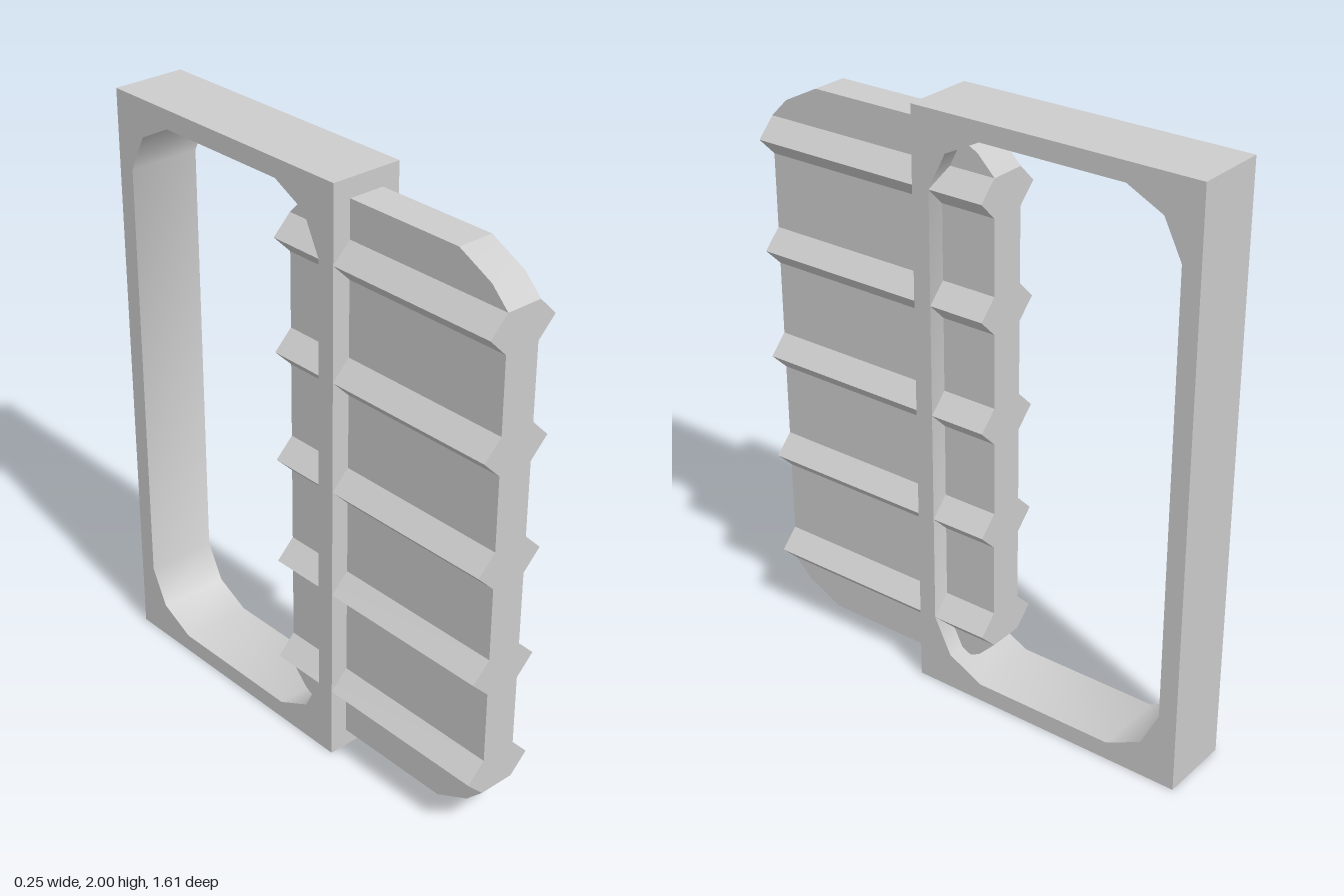
import * as THREE from 'three';
import { toCreasedNormals } from 'three/addons/utils/BufferGeometryUtils.js';

const material = new THREE.MeshStandardMaterial({ color: 0xcccccc });
const U = 1 / 16; // base module of the design

// Closed rectangle outline with each corner cut by two facets.
// offsets: [along z, along y] distances from the corner, from the horizontal edge to the vertical edge
function cutCorners(z0, z1, y0, y1, offsets) {
  const points = [];
  const corner = (z, y, sz, sy, list) =>
    list.forEach(([a, b]) => points.push(new THREE.Vector2(z + sz * a, y + sy * b)));
  const reversed = [...offsets].reverse();
  corner(z0, y0, 1, 1, reversed);
  corner(z1, y0, -1, 1, offsets);
  corner(z1, y1, -1, -1, reversed);
  corner(z0, y1, 1, -1, offsets);
  return points;
}

// Extrude a (z, y) shape across x, centred on x = 0
function extrudeAcross(shape, width, crease) {
  const geometry = new THREE.ExtrudeGeometry(shape, { depth: width, bevelEnabled: false });
  geometry.translate(0, 0, -width / 2);
  geometry.rotateY(-Math.PI / 2);
  return toCreasedNormals(geometry, crease);
}

function addMesh(parent, name, geometry) {
  const mesh = new THREE.Mesh(geometry, material);
  mesh.name = name;
  parent.add(mesh);
  return mesh;
}

export function createModel() {
  const group = new THREE.Group();
  group.name = 'ribbedPanelWithFrame';

  // Rectangular frame with a faceted, softly shaded opening
  const zBack = -0.807, zFront = 0.193;
  const outline = new THREE.Shape([
    new THREE.Vector2(zBack, 0), new THREE.Vector2(zFront, 0),
    new THREE.Vector2(zFront, 2), new THREE.Vector2(zBack, 2),
  ]);
  outline.holes.push(new THREE.Path(cutCorners(zBack + U, zFront - U, U, 2 - U,
    [[3 * U, 0], [U, U], [0, 3 * U]])));
  addMesh(group, 'frame', extrudeAcross(outline, 4 * U, 0.72));

  // Upright panel passing through the front bar of the frame
  const pBack = -0.065, pFront = 0.807;
  const panel = new THREE.Shape(cutCorners(pBack, pFront, U, 2 - U,
    [[3 * U, 0], [U, U], [0, 2 * U]]));
  addMesh(group, 'panel', extrudeAcross(panel, 2 * U, 0.4));

  // Pointed horizontal ribs, mirrored on both faces of the panel
  const ribs = new THREE.Group();
  ribs.name = 'ribs';
  group.add(ribs);
  const ribShape = new THREE.Shape([
    new THREE.Vector2(U, -U), new THREE.Vector2(2 * U, 0), new THREE.Vector2(U, U),
  ]);
  const ribGeometry = new THREE.ExtrudeGeometry(ribShape, { depth: pFront - pBack, bevelEnabled: false });
  ribGeometry.translate(0, 0, -(pFront - pBack) / 2);
  for (let i = 0; i < 5; i++) {
    for (const side of [1, -1]) {
      const rib = addMesh(ribs, side > 0 ? 'leftRib' : 'rightRib', ribGeometry);
      rib.position.set(0, 4 * U + i * 6 * U, (pFront + pBack) / 2);
      if (side < 0) rib.rotation.y = Math.PI;
    }
  }
  return group;
}
